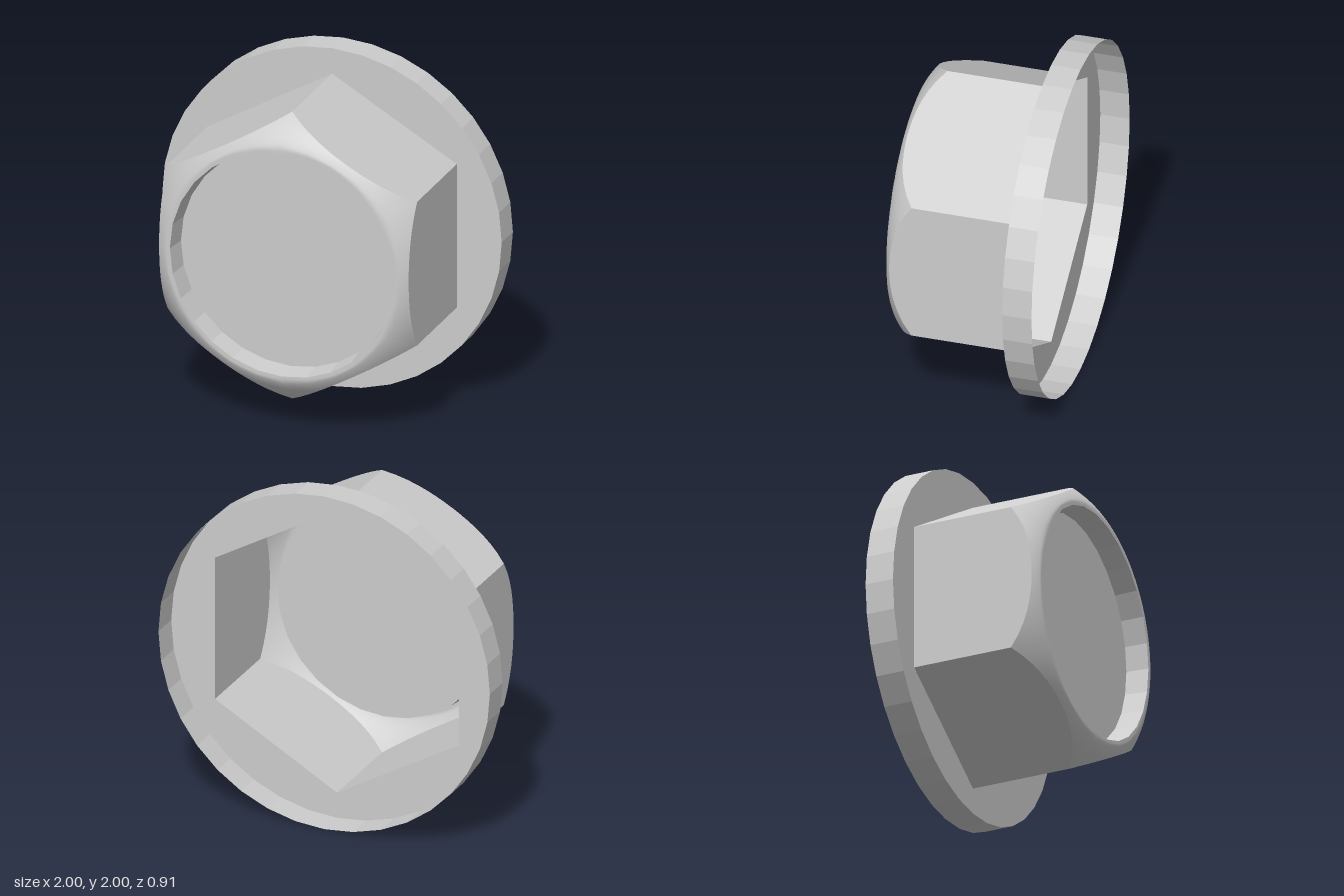
import * as THREE from 'three';

const TOP = Math.PI / 2;
const FLANGE_Z = -0.29, BACK_Z = -0.457, FRONT_Z = 0.457;
const LIP_R = 0.66, FLOOR_R = 0.645, FLOOR_Z = 0.33, HEX_R = 0.849;

// Radius of a regular polygon, one corner at the top, at angle a past the top
function polygonRadius(sides, radius, a) {
  const step = (2 * Math.PI) / sides;
  const local = a - step * Math.floor(a / step + 1e-6) - step / 2;
  return (radius * Math.cos(step / 2)) / Math.cos(local);
}

// Rounded chamfer: depth of the cap's front surface at distance r from the axis
function chamferZ(r) {
  const d = Math.max(0, r - 0.685);
  return FRONT_Z - 0.443 * d - 3.13 * d * d;
}

// Skin closed rings; ringAt(row, angle) gives [radius, z]
function loft(rows, segments, ringAt, smooth) {
  const positions = [], index = [];
  for (let j = 0; j < rows; j++) {
    for (let i = 0; i < segments; i++) {
      const a = (i / segments) * 2 * Math.PI;
      const [r, z] = ringAt(j, a);
      positions.push(r * Math.cos(a + TOP), r * Math.sin(a + TOP), z);
      if (j === rows - 1) continue;
      const n = (i + 1) % segments, p = j * segments, q = p + segments;
      index.push(p + i, p + n, q + n, p + i, q + n, q + i);
    }
  }
  let geometry = new THREE.BufferGeometry();
  geometry.setAttribute('position', new THREE.Float32BufferAttribute(positions, 3));
  geometry.setIndex(index);
  if (!smooth) geometry = geometry.toNonIndexed();
  geometry.computeVertexNormals();
  return geometry;
}

function polygonPoints(sides, radius) {
  return Array.from({ length: sides }, (_, i) => {
    const a = TOP + (i / sides) * 2 * Math.PI;
    return new THREE.Vector2(radius * Math.cos(a), radius * Math.sin(a));
  });
}

export function createModel() {
  const model = new THREE.Group();
  model.name = 'flangedHexCap';
  const grey = new THREE.MeshStandardMaterial({ color: 0xcccccc, side: THREE.DoubleSide });
  grey.name = 'lightGrey';

  const add = (name, geometry, z = 0) => {
    const mesh = new THREE.Mesh(geometry, grey);
    mesh.name = name;
    mesh.position.set(0, 1, z);
    model.add(mesh);
  };
  const hex = (a) => polygonRadius(6, HEX_R, a);
  const lip = (a) => polygonRadius(28, LIP_R, a);

  // Flange: a plate with a hexagonal opening and a rim open at the back
  const plate = new THREE.Shape(polygonPoints(36, 1));
  plate.holes.push(new THREE.Path(polygonPoints(6, HEX_R)));
  add('flangePlate', new THREE.ShapeGeometry(plate), FLANGE_Z);
  add('flangeRim', loft(2, 36, (j) => [1, j ? FLANGE_Z : BACK_Z], false));

  // Six flat walls, ending in the curved chamfer line
  add('hexWalls', loft(2, 84, (j, a) => [hex(a), j ? chamferZ(hex(a)) : FLANGE_Z], false));

  // Rounded chamfer from the walls in to the round lip
  const rows = 12;
  add('chamfer', loft(rows, 84, (j, a) => {
    const r = THREE.MathUtils.lerp(hex(a), lip(a), j / (rows - 1));
    return [r, chamferZ(r)];
  }, true));

  // Shallow recess in the front, slightly tapered
  add('recessWall', loft(2, 28, (j) => (j ? [FLOOR_R, FLOOR_Z] : [LIP_R, FRONT_Z]), false));
  add('recessFloor', new THREE.CircleGeometry(FLOOR_R, 28, TOP), FLOOR_Z);

  return model;
}
